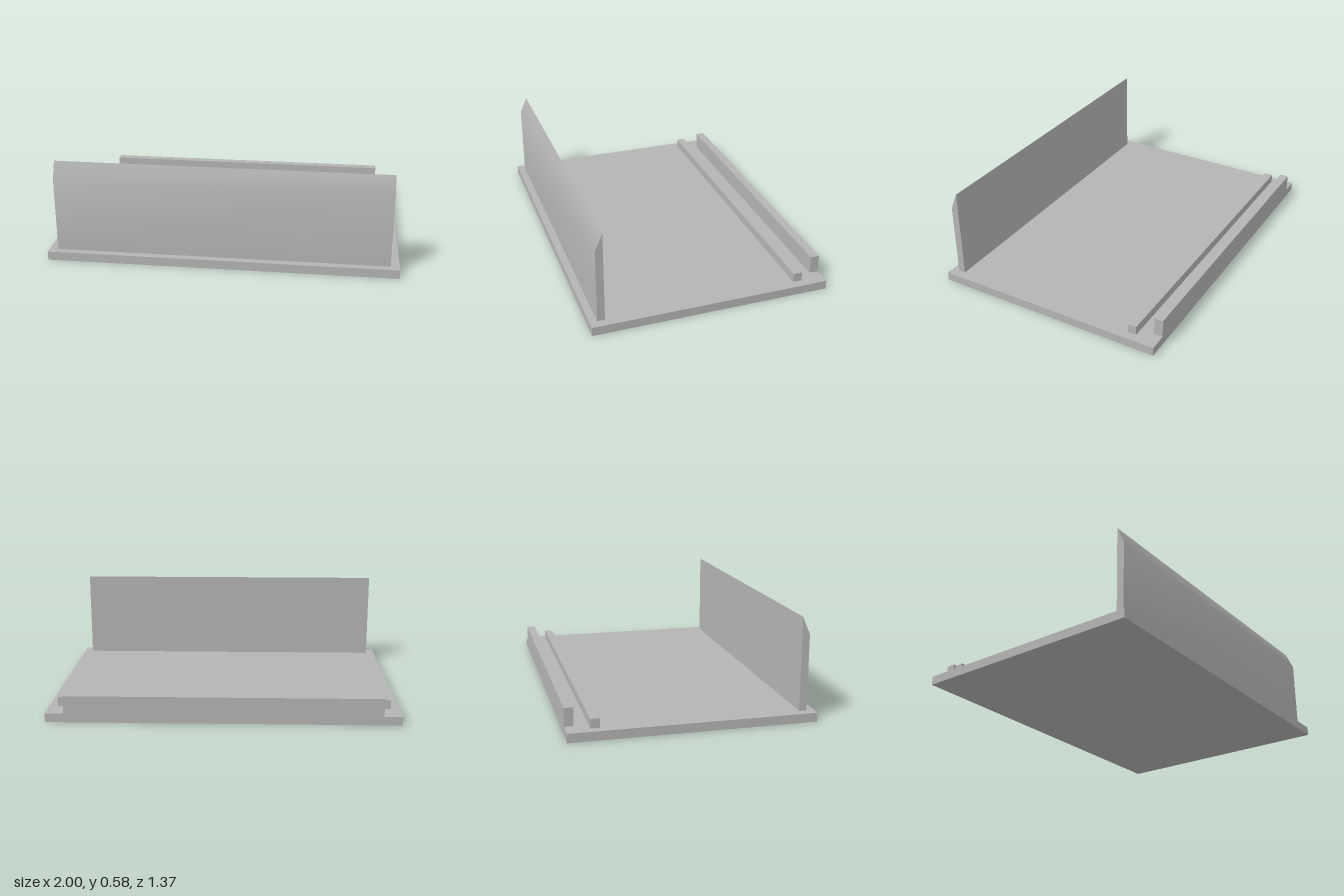
import * as THREE from 'three';
import { toCreasedNormals } from 'three/addons/utils/BufferGeometryUtils.js';

export function createModel() {
  const group = new THREE.Group();
  const grey = new THREE.MeshStandardMaterial({ color: 0xb4b4b4 });
  grey.name = 'plain grey';

  const baseTop = 0.051;

  function add(name, geometry) {
    const mesh = new THREE.Mesh(geometry, grey);
    mesh.name = name;
    group.add(mesh);
  }

  // Box centred on x, given by its width and its y and z ranges
  function slab(name, width, y0, y1, z0, z1) {
    const geometry = new THREE.BoxGeometry(width, y1 - y0, z1 - z0);
    geometry.translate(0, (y0 + y1) / 2, (z0 + z1) / 2);
    add(name, geometry);
  }

  slab('basePlate', 2, 0, baseTop, -0.684, 0.684);
  slab('rearRail', 1.79, baseTop, 0.154, -0.684, -0.633);
  slab('innerRail', 1.9, baseTop, 0.103, -0.554, -0.503);

  // Upright front panel with a bevelled top, softly shaded across the bevel
  const profile = new THREE.Shape([
    [-0.641, baseTop], [-0.598, baseTop], [-0.598, 0.579], [-0.641, 0.479],
  ].map(([x, y]) => new THREE.Vector2(x, y)));
  const panel = new THREE.ExtrudeGeometry(profile, { depth: 1.9, bevelEnabled: false });
  panel.translate(0, 0, -0.95);
  panel.rotateY(Math.PI / 2);
  add('frontPanel', toCreasedNormals(panel, Math.PI / 6));

  return group;
}
